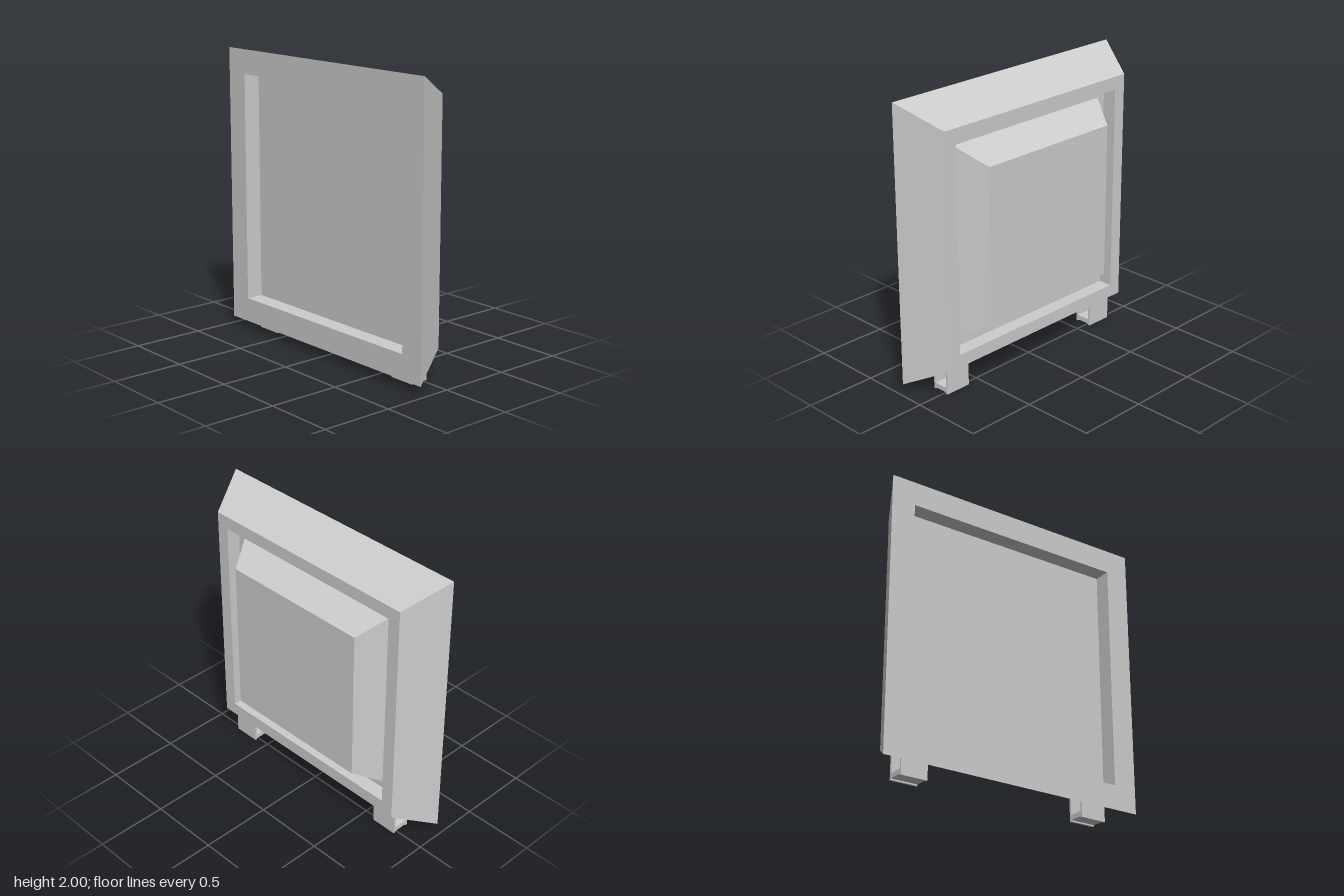
import * as THREE from 'three';

const grey = new THREE.MeshStandardMaterial({ color: 0xcccccc });
grey.name = 'light grey';

const CENTRE_Y = 1.03;

// Square ring or block around the x axis from a profile of [half width, x] points
function squareTurned(name, profile) {
  const points = profile.map(([half, x]) => new THREE.Vector2(half * Math.SQRT2, x));
  const geometry = new THREE.LatheGeometry(points, 4, Math.PI / 4).toNonIndexed();
  geometry.rotateZ(-Math.PI / 2);
  geometry.computeVertexNormals();
  const mesh = new THREE.Mesh(geometry, grey);
  mesh.name = name;
  mesh.position.y = CENTRE_Y;
  return mesh;
}

// Box given by its limits in x and y, and its width along z
function slab(name, x0, x1, y0, y1, width) {
  const mesh = new THREE.Mesh(new THREE.BoxGeometry(x1 - x0, y1 - y0, width), grey);
  mesh.name = name;
  mesh.position.set((x0 + x1) / 2, (y0 + y1) / 2, 0);
  return mesh;
}

export function createModel() {
  const model = new THREE.Group();
  model.name = 'framedPanel';

  // Bevelled frame, with a wider recess at the back
  model.add(squareTurned('frame', [
    [0.97, -0.2], [0.82, 0.1], [0.73, 0.1], [0.73, -0.08],
    [0.8, -0.08], [0.8, -0.2], [0.97, -0.2],
  ]));

  // Plate closing the frame opening
  model.add(slab('backPlate', -0.08, 0, CENTRE_Y - 0.73, CENTRE_Y + 0.73, 1.46));

  // Raised panel with sloping sides
  model.add(squareTurned('raisedPanel', [[0.665, 0], [0.545, 0.2], [0, 0.2]]));

  // Two U-shaped feet
  for (const side of [1, -1]) {
    const foot = new THREE.Group();
    foot.name = side > 0 ? 'leftFoot' : 'rightFoot';
    foot.add(
      slab('footInnerWall', -0.1, -0.085, 0, 0.115, 0.19),
      slab('footOuterWall', 0.015, 0.03, 0, 0.18, 0.19),
      slab('footBase', -0.085, 0.015, 0.01, 0.045, 0.19),
    );
    foot.position.z = side * 0.69;
    model.add(foot);
  }
  return model;
}
